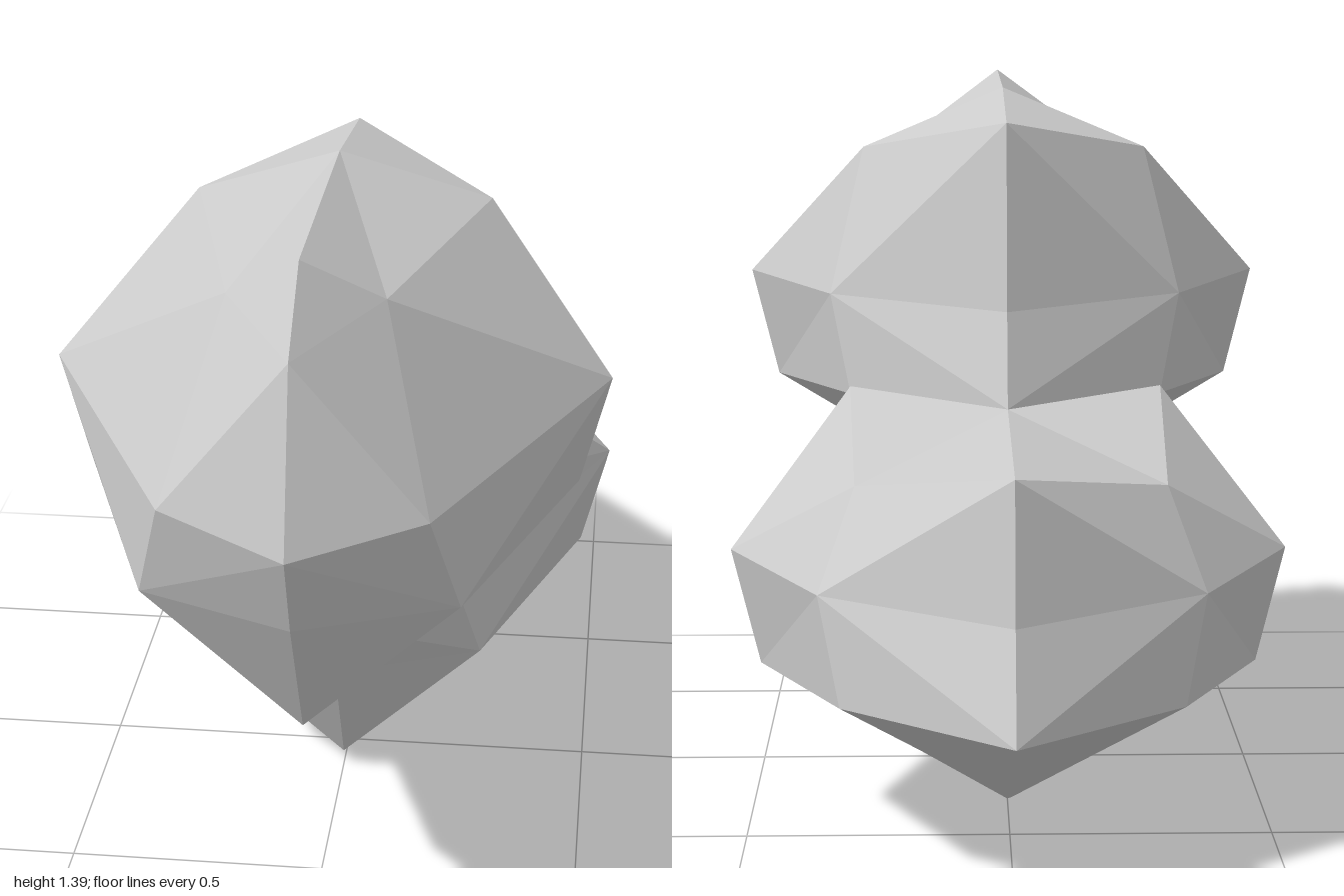
import * as THREE from 'three';

const material = new THREE.MeshStandardMaterial({ color: 0xcccccc, flatShading: true, side: THREE.DoubleSide });

// Builds a faceted body from triangle fans (hub, then the points around it),
// mirrored in x, with each triangle wound to face away from the centre.
function mirroredBody(name, points, fans, centre) {
  const positions = [];
  const addTriangle = (keys, side) => {
    const v = keys.map((key) => new THREE.Vector3(...points[key]).setX(points[key][0] * side));
    const tri = new THREE.Triangle(...v);
    const normal = tri.getNormal(new THREE.Vector3());
    const outward = tri.getMidpoint(new THREE.Vector3()).sub(centre);
    if (normal.dot(outward) < 0) v.reverse();
    v.forEach((p) => positions.push(p.x, p.y, p.z));
  };
  for (const fan of fans) {
    const [hub, ...path] = fan.split(' ');
    for (let i = 1; i < path.length; i++) {
      addTriangle([hub, path[i - 1], path[i]], 1);
      addTriangle([hub, path[i - 1], path[i]], -1);
    }
  }
  const geometry = new THREE.BufferGeometry();
  geometry.setAttribute('position', new THREE.Float32BufferAttribute(positions, 3));
  geometry.computeVertexNormals();
  const mesh = new THREE.Mesh(geometry, material);
  mesh.name = name;
  return mesh;
}

// Points shared by both bodies, placed for the upper one
const common = {
  frontSide: [0.235, 0.97, 0.89],
  cheek: [0.285, 0.77, 0.81],
  wide: [0.53, 0.99, 0.28],
  rim: [0.475, 0.77, 0.27],
  rearSide: [0.35, 0.98, -0.05],
  rearRim: [0.31, 0.785, -0.1],
  chin: [0, 0.77, 0.93],
  keelFront: [0, 0.49, 0.77],
  keelBack: [0, 0.46, 0.38],
  rearMid: [0, 0.97, -0.26],
  rearLow: [0, 0.79, -0.32],
};

// Fans shared by both bodies: front, keel, flank and back
const commonFans = [
  'cheek frontSide nose chin keelFront rim wide frontSide',
  'rim keelFront keelBack',
  'wide frontSide brow',
  'rearSide shoulder wide rim rearRim rearLow rearMid rearTop shoulder',
];

export function createModel() {
  const group = new THREE.Group();
  group.name = 'facetedBodies';

  // Upper body: domed top, hollow underside resting on the lower body
  const upper = {
    ...common,
    nose: [0, 0.935, 1.0],
    forehead: [0, 1.265, 0.92],
    crownFront: [0, 1.39, 0.77],
    crownBack: [0, 1.38, 0.16],
    rearTop: [0, 1.33, -0.2],
    brow: [0.14, 1.29, 0.68],
    shoulder: [0.285, 1.265, 0.07],
    pocket: [0, 0.8, -0.1],
  };
  group.add(mirroredBody('upperBody', upper, [
    ...commonFans,
    'forehead nose frontSide brow crownFront',
    'brow wide shoulder crownBack crownFront',
    'crownBack shoulder rearTop',
    'pocket keelBack rim rearRim rearLow',
  ], new THREE.Vector3(0, 0.95, 0.35)));

  // Lower body: same form moved down and back, with a flatter top
  const lower = {};
  for (const [key, [x, y, z]] of Object.entries(common)) lower[key] = [x, y - 0.457, z - 0.667];
  Object.assign(lower, {
    nose: [0, 0.475, 0.37],
    brow: [0.25, 0.71, 0.2],
    neckSide: [0.31, 0.8, -0.1],
    neckFront: [0, 0.82, 0.05],
    neckBack: [0, 0.79, -0.32],
    shoulder: [0.285, 0.7, -0.61],
    rearTop: [0, 0.765, -0.88],
    rearLow: [0, 0.32, -1.0],
    bellyMid: [0, 0.11, -0.61],
    bellyBack: [0, 0.25, -0.85],
    keelBack: [0, 0, -0.285],
  });
  group.add(mirroredBody('lowerBody', lower, [
    ...commonFans,
    'brow nose frontSide',
    'nose brow neckFront',
    'neckSide brow wide shoulder neckBack neckFront brow',
    'neckBack shoulder rearTop',
    'rim keelBack bellyMid',
    'rearRim rim bellyMid bellyBack rearLow',
  ], new THREE.Vector3(0, 0.42, -0.35)));

  return group;
}
